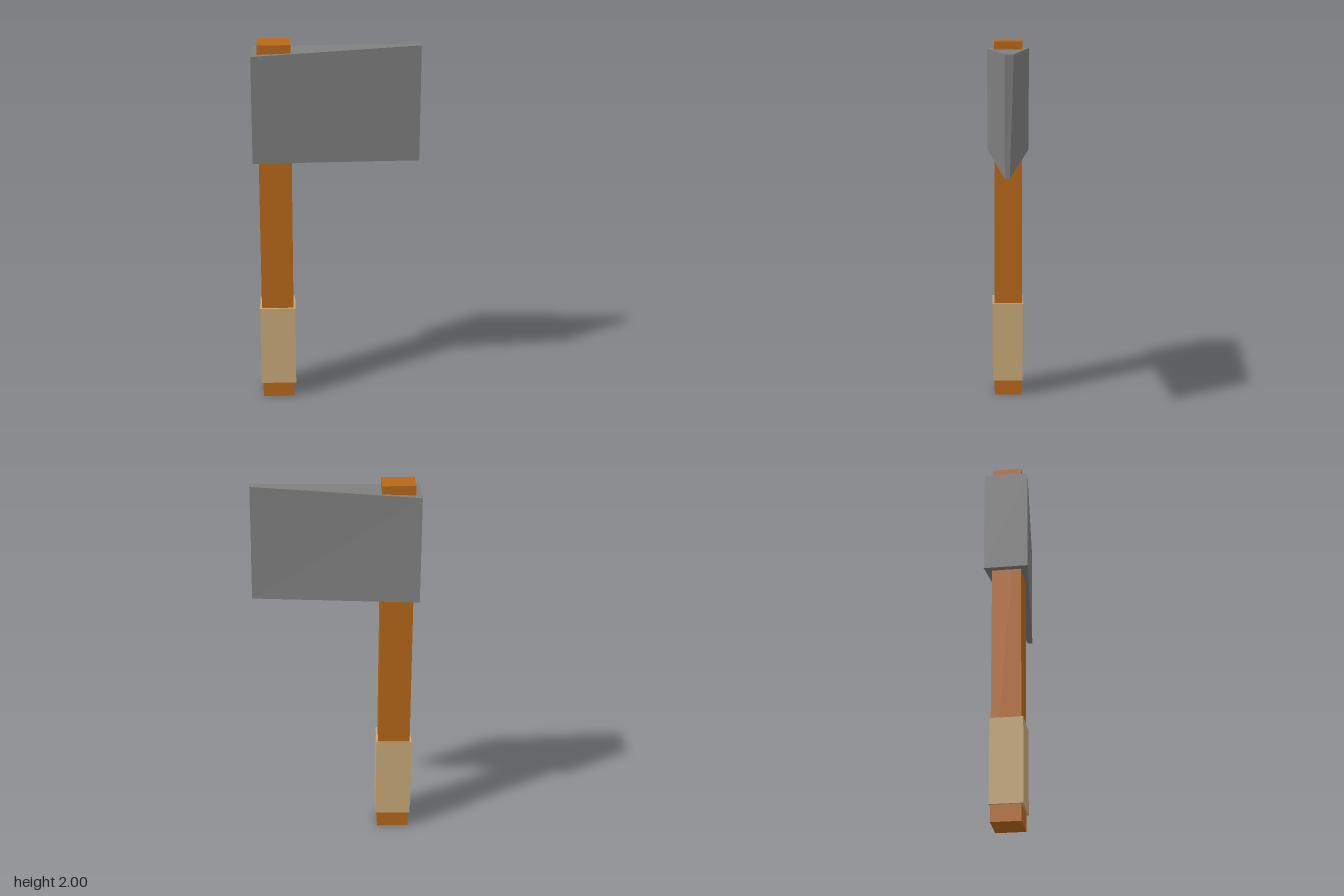
import * as THREE from 'three';

const HANDLE_X = -0.321;

function addMesh(group, name, geometry, color, x, y, z) {
  const material = new THREE.MeshStandardMaterial({ color, flatShading: true });
  const mesh = new THREE.Mesh(geometry, material);
  mesh.name = name;
  mesh.position.set(x, y, z);
  group.add(mesh);
}

// Wedge: a unit box whose corners are moved to the thick poll and the thin, taller cutting edge
function headGeometry() {
  const geometry = new THREE.BoxGeometry(1, 1, 1);
  const p = geometry.attributes.position;
  for (let i = 0; i < p.count; i++) {
    const edge = p.getX(i) > 0, top = p.getY(i) > 0, front = p.getZ(i) > 0;
    let x = edge ? 0.438 : -0.438;
    const y = edge ? (top ? 1.98 : 1.36) : (top ? 1.95 : 1.382);
    let z = (front ? 1 : -1) * (edge ? 0.022 : 0.116);
    // the cutting edge narrows towards its lower back corner
    if (edge && !front) {
      x = top ? 0.434 : 0.438;
      z = top ? -0.023 : -0.003;
    }
    p.setXYZ(i, x, y, z);
  }
  geometry.computeVertexNormals();
  return geometry;
}

export function createModel() {
  const axe = new THREE.Group();
  axe.name = 'axe';

  // Square wooden shaft, passing through the head
  addMesh(axe, 'handle', new THREE.BoxGeometry(0.172, 2, 0.154), 0xb86819, HANDLE_X, 1, 0);

  // Wrapped grip near the bottom
  addMesh(axe, 'grip', new THREE.BoxGeometry(0.192, 0.452, 0.17), 0xc8aa78, HANDLE_X, 0.314, 0.003);

  // Tapered metal head
  addMesh(axe, 'head', headGeometry(), 0x808080, 0, 0, 0);

  return axe;
}
